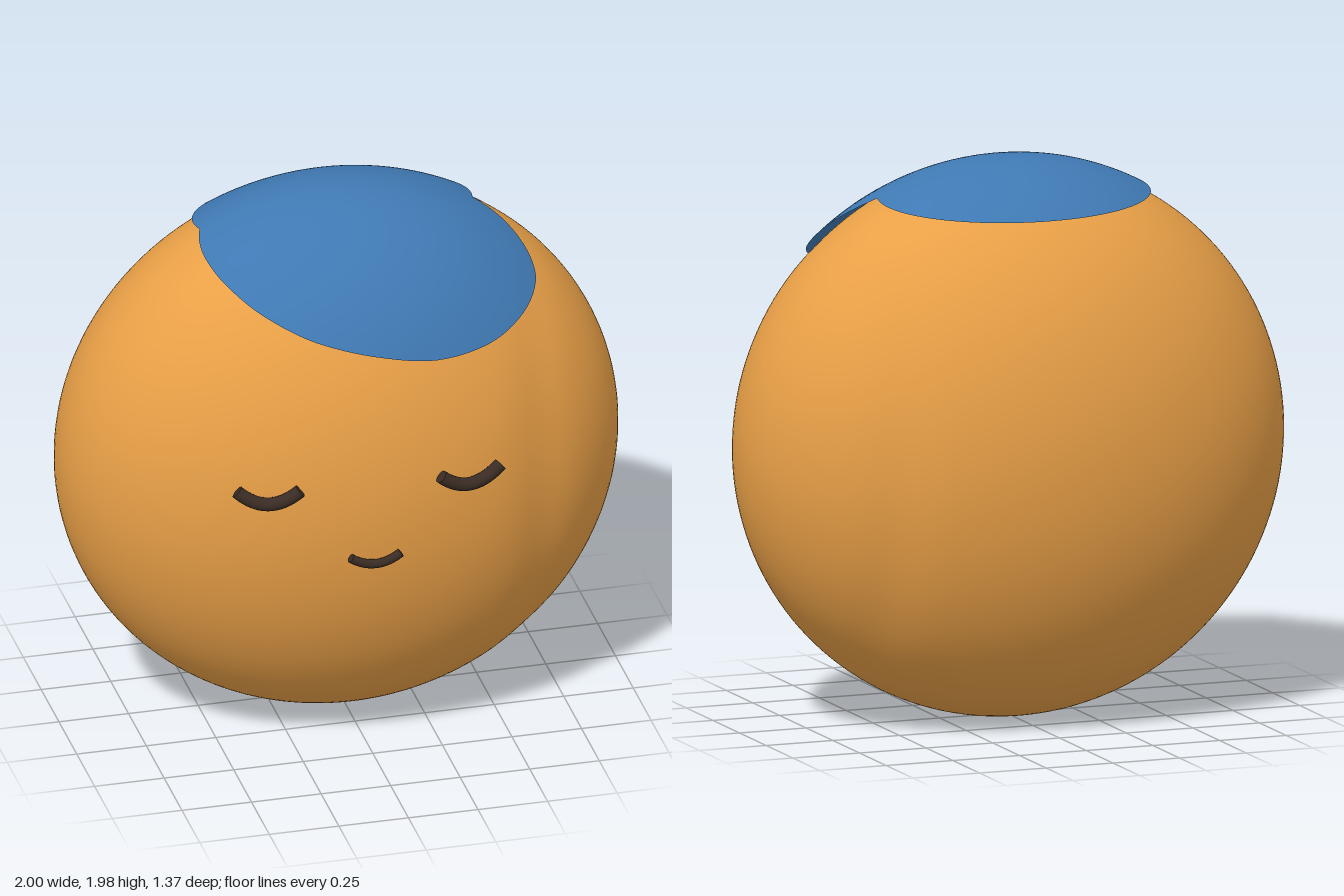
import * as THREE from 'three';
import { mergeVertices } from 'three/addons/utils/BufferGeometryUtils.js';

const CENTRE = new THREE.Vector3(0, 0.98, -0.017);
const BODY = new THREE.Vector3(1, 0.98, 0.67);
const SHELL = new THREE.Vector3(1.028, 1.003, 0.689);

const paint = (color, side = THREE.FrontSide) => new THREE.MeshStandardMaterial({ color, side });

function named(name, geometry, material) {
  const mesh = new THREE.Mesh(geometry, material);
  mesh.name = name;
  return mesh;
}

// Weld seams, then smooth the normals
function smooth(geometry) {
  geometry.deleteAttribute('uv');
  geometry.deleteAttribute('normal');
  const welded = mergeVertices(geometry, 1e-5);
  welded.computeVertexNormals();
  return welded;
}

// Flattened ball with a shallow vertical dent on its left side
function bodyGeometry() {
  const geo = new THREE.SphereGeometry(1, 128, 80);
  const p = geo.attributes.position;
  const v = new THREE.Vector3();
  for (let i = 0; i < p.count; i++) {
    v.fromBufferAttribute(p, i).multiply(BODY);
    v.z *= 1 - 0.03 * Math.exp(-(((v.x - 0.62) / 0.09) ** 2));
    v.add(CENTRE);
    p.setXYZ(i, v.x, v.y, v.z);
  }
  return smooth(geo);
}

// How far down the cap reaches: front half, every 15 degrees from +x to -x
const REACH = [0.497, 0.66, 0.825, 0.915, 0.975, 0.985, 0.935, 0.862, 0.765, 0.67, 0.595, 0.54, 0.497];
const reachCurve = new THREE.CatmullRomCurve3(REACH.map((r, i) => new THREE.Vector3(i / 12, r, 0)));

function capReach(angle) {
  if (angle <= Math.PI) return reachCurve.getPoint(Math.min(1, angle / Math.PI)).y;
  return 0.497 - 0.093 * Math.sin(angle);
}

// Thin shell over the crown, with an uneven lower edge
function capGeometry() {
  const rings = 28, sides = 144;
  const geo = new THREE.PlaneGeometry(1, 1, sides, rings);
  const p = geo.attributes.position;
  const v = new THREE.Vector3();
  for (let row = 0; row <= rings; row++) {
    for (let col = 0; col <= sides; col++) {
      const angle = ((sides - col) % sides) / sides * Math.PI * 2;
      const theta = capReach(angle) * row / rings;
      v.set(Math.sin(theta) * Math.cos(angle), Math.cos(theta), Math.sin(theta) * Math.sin(angle));
      v.multiply(SHELL).add(CENTRE);
      p.setXYZ(row * (sides + 1) + col, v.x, v.y, v.z);
    }
  }
  return smooth(geo);
}

// Curved bar with flat closed ends
function bar(name, start, dip, end, radius, material) {
  const group = new THREE.Group();
  group.name = name;
  const [a, b, c] = [start, dip, end].map((q) => new THREE.Vector3(...q));
  const curve = new THREE.QuadraticBezierCurve3(a, b, c);
  group.add(named(name + 'Bar', new THREE.TubeGeometry(curve, 24, radius, 16), material));
  for (const t of [0, 1]) {
    const disc = named(name + 'End', new THREE.CircleGeometry(radius, 16), material);
    disc.position.copy(curve.getPoint(t));
    const out = curve.getTangent(t).multiplyScalar(t ? 1 : -1);
    disc.quaternion.setFromUnitVectors(new THREE.Vector3(0, 0, 1), out);
    group.add(disc);
  }
  return group;
}

export function createModel() {
  const model = new THREE.Group();
  model.name = 'sleepyBall';
  const dark = paint(0x3a2c24);

  model.add(named('body', bodyGeometry(), paint(0xe9a047)));
  model.add(named('cap', capGeometry(), paint(0x3f79b3, THREE.DoubleSide)));

  // Closed eyes and smile
  model.add(bar('rightEye', [-0.51, 1.137, 0.586], [-0.408, 1.043, 0.624], [-0.295, 1.137, 0.634], 0.024, dark));
  model.add(bar('leftEye', [0.207, 1.137, 0.652], [0.315, 1.043, 0.648], [0.43, 1.137, 0.61], 0.024, dark));
  model.add(bar('mouth', [-0.122, 0.867, 0.668], [-0.03, 0.803, 0.668], [0.058, 0.867, 0.668], 0.016, dark));
  return model;
}
